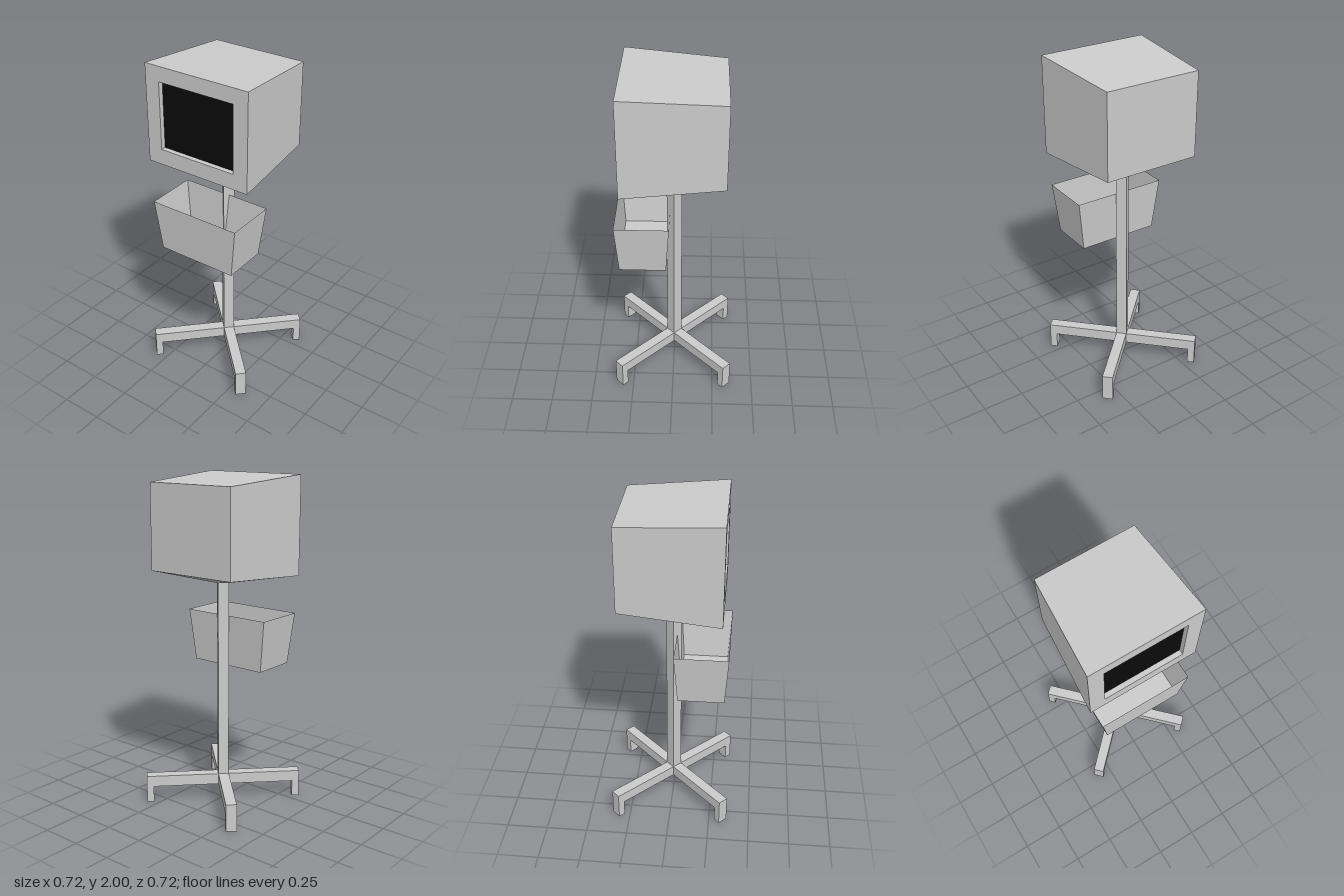
import * as THREE from 'three';

const grey = new THREE.MeshStandardMaterial({ color: 0xcccccc, flatShading: true });
const greyThin = new THREE.MeshStandardMaterial({ color: 0xcccccc, flatShading: true, side: THREE.DoubleSide });
const black = new THREE.MeshStandardMaterial({ color: 0x0a0a0a });

// Flat-shaded geometry from polygons, corners counter-clockwise from outside
function fromPolygons(polygons) {
  const pos = [];
  for (const p of polygons) {
    for (let i = 1; i < p.length - 1; i++) pos.push(...p[0], ...p[i], ...p[i + 1]);
  }
  const g = new THREE.BufferGeometry();
  g.setAttribute('position', new THREE.Float32BufferAttribute(pos, 3));
  g.computeVertexNormals();
  return g;
}

// Rectangle facing +z, counter-clockwise from lower left
const rectXY = (hw, y0, y1, z) => [[-hw, y0, z], [hw, y0, z], [hw, y1, z], [-hw, y1, z]];

// Rectangle facing +y, counter-clockwise seen from above
const rectXZ = (hw, z0, z1, y) => [[-hw, y, z1], [hw, y, z1], [hw, y, z0], [-hw, y, z0]];

// Quads joining two four-cornered rings
const band = (a, b) => a.map((_, i) => {
  const j = (i + 1) % 4;
  return [a[i], a[j], b[j], b[i]];
});

function add(parent, name, geometry, material = grey) {
  const mesh = new THREE.Mesh(geometry, material);
  mesh.name = name;
  parent.add(mesh);
  return mesh;
}

export function createModel() {
  const model = new THREE.Group();
  model.name = 'displayStand';

  const width = 0.064;              // side of the square post
  const diag = width / Math.SQRT2;  // its half diagonal
  const legBottom = 0.1, legTop = 0.168, postTop = 1.375;

  // Post, turned so its faces meet the diagonal legs
  const post = add(model, 'post', new THREE.BoxGeometry(width, postTop - legBottom, width));
  post.position.y = (postTop + legBottom) / 2;
  post.rotation.y = Math.PI / 4;

  // Four L-shaped legs with feet
  const reach = 0.477, foot = 0.043;
  const profile = new THREE.Shape([
    [width / 2, legBottom], [reach - foot, legBottom], [reach - foot, 0],
    [reach, 0], [reach, legTop], [width / 2, legTop],
  ].map(([x, y]) => new THREE.Vector2(x, y)));
  const legGeometry = new THREE.ExtrudeGeometry(profile, { depth: width, bevelEnabled: false });
  legGeometry.translate(0, 0, -width / 2);
  const legs = new THREE.Group();
  legs.name = 'legs';
  for (let i = 0; i < 4; i++) {
    add(legs, 'leg', legGeometry).rotation.y = Math.PI / 4 + i * Math.PI / 2;
  }
  // Top of the crossing between the legs
  const hub = add(legs, 'legHub', new THREE.BoxGeometry(width, legTop - legBottom, width));
  hub.position.y = (legTop + legBottom) / 2;
  hub.rotation.y = Math.PI / 4;
  model.add(legs);

  // Tapered cabinet with a recessed opening in front
  const back = rectXY(0.295, 1.45, 1.96, -0.297);
  const front = rectXY(0.337, 1.41, 2, 0.297);
  const opening = rectXY(0.245, 1.505, 1.91, 0.297);
  const recess = rectXY(0.245, 1.505, 1.91, 0.267);
  const head = new THREE.Group();
  head.name = 'head';
  add(head, 'cabinet', fromPolygons([
    [...back].reverse(),
    ...band(back, front).slice(1),
    ...band(front, opening),
    ...band(opening, recess),
  ]));
  add(head, 'screen', fromPolygons([recess]), black);

  // Underside sloping down to the top of the post
  const corners = [front[0], front[1], back[1], back[0]];
  const tips = [[0, postTop, diag], [diag, postTop, 0], [0, postTop, -diag], [-diag, postTop, 0]];
  const slopes = [];
  for (let i = 0; i < 4; i++) {
    const j = (i + 1) % 4;
    slopes.push([corners[j], corners[i], tips[i]], [corners[j], tips[i], tips[j]]);
  }
  add(head, 'underside', fromPolygons(slopes));
  model.add(head);

  // Thin open bin, wider at the top
  const floor = rectXZ(0.25, 0.042, 0.318, 0.853);
  const rim = rectXZ(0.287, 0.022, 0.338, 1.17);
  add(model, 'bin', fromPolygons([[...floor].reverse(), ...band(floor, rim)]), greyThin);

  return model;
}
